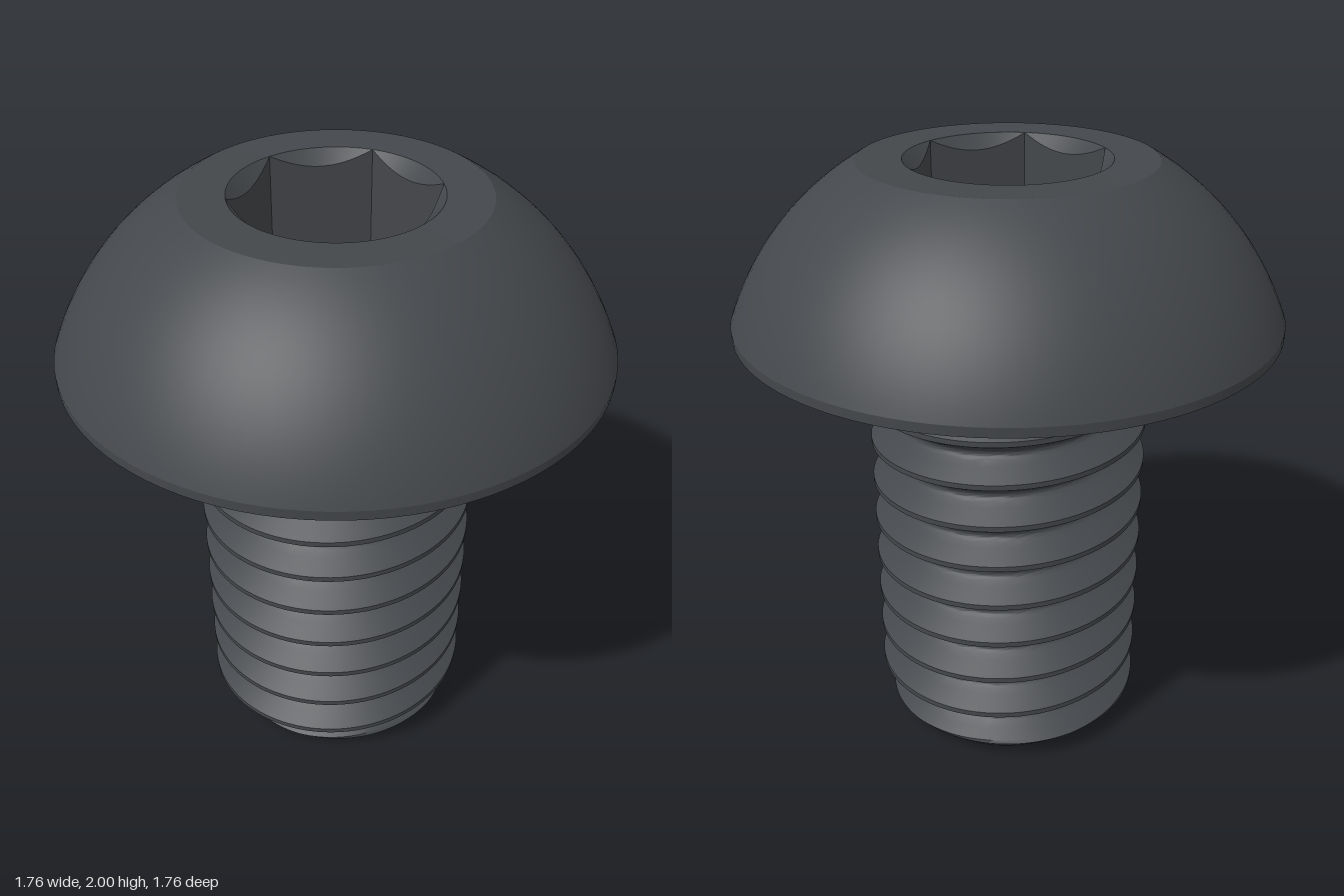
import * as THREE from 'three';
import { toCreasedNormals } from 'three/addons/utils/BufferGeometryUtils.js';

const COLS = 96;
const PITCH = 0.149, CREST = 0.465, HEAD_Y = 1.49, TOP_Y = 2;

// Skin rows of points round the y axis; each row maps an angle to [radius, height].
function skin(rows, crease) {
  const pos = [], index = [];
  rows.forEach((row) => {
    for (let j = 0; j <= COLS; j++) {
      const phi = (j / COLS) * Math.PI * 2;
      const [r, y] = row(phi);
      pos.push(r * Math.cos(phi), y, r * Math.sin(phi));
    }
  });
  for (let i = 0; i < rows.length - 1; i++) {
    for (let j = 0; j < COLS; j++) {
      const a = i * (COLS + 1) + j, up = a + COLS + 1;
      index.push(a, up, a + 1, a + 1, up, up + 1);
    }
  }
  const g = new THREE.BufferGeometry();
  g.setAttribute('position', new THREE.Float32BufferAttribute(pos, 3));
  g.setIndex(index);
  return toCreasedNormals(g, crease);
}

// Half of the thread form: [distance from crest, radius]
const FORM = [[0, CREST], [0.009, CREST], [0.032, 0.4285], [0.055, 0.392],
  [0.061, 0.384], [0.067, 0.379], [PITCH / 2, 0.377]];

function formRadius(d) {
  for (let i = 1; i < FORM.length; i++) {
    const [d0, r0] = FORM[i - 1], [d1, r1] = FORM[i];
    if (d <= d1) return r0 + ((r1 - r0) * (d - d0)) / (d1 - d0);
  }
  return FORM[FORM.length - 1][1];
}

// Shank: right-handed thread, chamfered tip, run-out and fillet under the head
function shankGeometry() {
  const steps = [];
  FORM.forEach(([d], i) => {
    steps.push(d);
    if (i < FORM.length - 1) steps.push((d + FORM[i + 1][0]) / 2);
  });
  const offsets = [...steps.slice(1).reverse().map((d) => -d), ...steps.slice(0, -1)];
  const rows = [() => [0, 0]];
  for (let turn = -1; turn <= 11; turn++) {
    for (const offset of offsets) {
      rows.push((phi) => {
        const crestY = 0.155 - (PITCH * phi) / (Math.PI * 2);
        const y = THREE.MathUtils.clamp(crestY + turn * PITCH + offset, 0, HEAD_Y);
        const turns = (y - crestY) / PITCH;
        const depth = CREST - formRadius(Math.abs(turns - Math.round(turns)) * PITCH);
        let r = CREST - depth * THREE.MathUtils.clamp((1.47 - y) / 0.13, 0, 1);
        r = Math.min(r, 0.385 + y);
        const f = Math.max(0, (y - 1.45) / 0.04);
        return [r + 0.025 * (1 - Math.sqrt(Math.max(0, 1 - f * f))), y];
      });
    }
  }
  return skin(rows, 0.75);
}

// Head: flat underside, short rim, spherical dome, flat top and hexagon socket
function headGeometry() {
  const ring = (r, y) => () => [r, y];
  const rows = [ring(0.4, HEAD_Y), ring(0.88, HEAD_Y)];
  const centreY = 1.1786, radius = 0.944;
  const start = Math.acos(0.88 / radius), end = Math.acos(CREST / radius);
  for (let i = 0; i <= 24; i++) {
    const a = start + ((end - start) * i) / 24;
    rows.push(ring(radius * Math.cos(a), centreY + radius * Math.sin(a)));
  }
  const socketR = 0.324, floorY = 1.67, sector = Math.PI / 3;
  const hex = (phi) =>
    (socketR * Math.cos(sector / 2)) / Math.cos((phi % sector) - sector / 2);
  rows.push(
    ring(socketR, TOP_Y),
    (phi) => [hex(phi), TOP_Y - (socketR - hex(phi))], // countersunk mouth
    (phi) => [hex(phi), floorY],
    ring(0, floorY),
  );
  return skin(rows, 0.3);
}

export function createModel() {
  const group = new THREE.Group();
  group.name = 'buttonHeadScrew';
  const material = new THREE.MeshStandardMaterial({ color: 0x44474b });
  const add = (name, geometry) => {
    const mesh = new THREE.Mesh(geometry, material);
    mesh.name = name;
    group.add(mesh);
  };
  add('threadedShank', shankGeometry());
  add('socketHead', headGeometry());
  return group;
}
